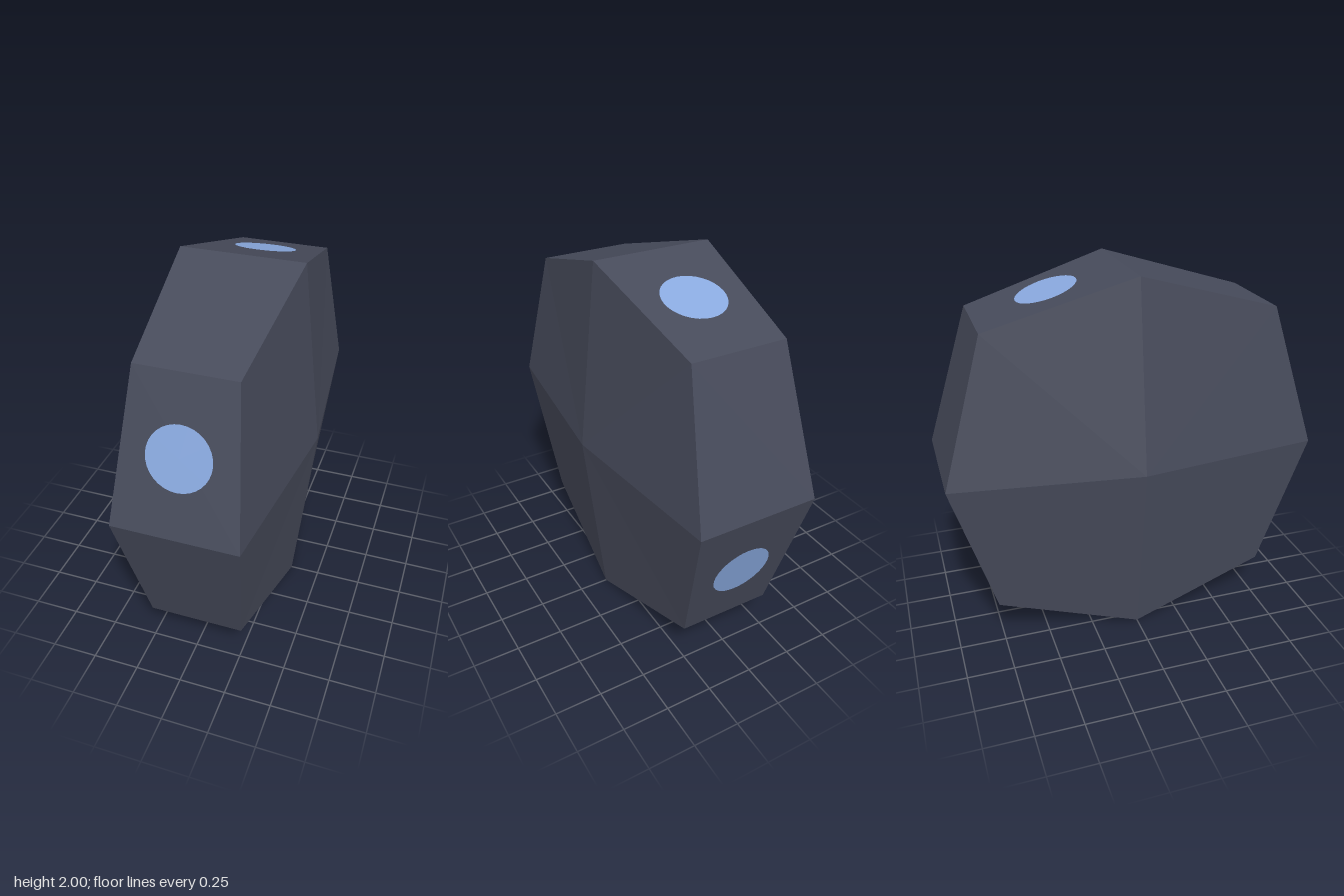
import * as THREE from 'three';

const SIDES = 8;
const APEX = 0.444;          // half thickness at the hub
const DIAG = 0.77;           // y and z of the diagonal rim corners

// Rim corner i on the +x or -x face, counted from the top towards the front
function rimPoint(i, side) {
  const odd = i % 2 === 1;
  const r = odd ? DIAG * Math.SQRT2 : 1;
  const a = (i * Math.PI * 2) / SIDES;
  const x = 0.011 + side * (odd ? 0.253 : 0.325);
  return [x, r * Math.cos(a), r * Math.sin(a)];
}

function facets(triangles) {
  const geo = new THREE.BufferGeometry();
  geo.setAttribute('position', new THREE.Float32BufferAttribute(triangles.flat(2), 3));
  geo.computeVertexNormals();
  return geo;
}

export function createModel() {
  const model = new THREE.Group();
  model.name = 'facetedWheel';

  const slate = new THREE.MeshStandardMaterial({ color: 0x474b5b });
  slate.name = 'dark slate';
  const blue = new THREE.MeshStandardMaterial({ color: 0x8aaae0 });
  blue.name = 'light blue';

  const body = new THREE.Group();
  body.position.y = 1;
  model.add(body);

  const add = (parent, name, geo, mat) => {
    const mesh = new THREE.Mesh(geo, mat);
    mesh.name = name;
    parent.add(mesh);
    return mesh;
  };

  // Shallow pyramids on both sides and the flat tread panels between them
  const left = [], right = [], tread = [];
  for (let i = 0; i < SIDES; i++) {
    const j = (i + 1) % SIDES;
    const a = rimPoint(i, 1), b = rimPoint(j, 1);
    const c = rimPoint(i, -1), d = rimPoint(j, -1);
    left.push([[APEX, 0, 0], a, b]);
    right.push([[-APEX, 0, 0], d, c]);
    tread.push([a, c, b], [b, c, d]);
  }
  add(body, 'leftSide', facets(left), slate);
  add(body, 'rightSide', facets(right), slate);
  add(body, 'tread', facets(tread), slate);

  // Round spots on every second tread panel
  const tilt = Math.atan2(1 - DIAG, DIAG);
  const lift = 0.004;
  for (let k = 0; k < 4; k++) {
    const pivot = new THREE.Group();
    pivot.name = 'spotPivot';
    pivot.rotation.x = (k * Math.PI) / 2;
    body.add(pivot);
    const spot = add(pivot, 'spot', new THREE.CircleGeometry(0.163, 32), blue);
    spot.position.set(
      0.012,
      DIAG / 2 + lift * Math.sin(tilt) + 0.003,
      (1 + DIAG) / 2 + lift * Math.cos(tilt)
    );
    spot.rotation.x = -tilt;
  }

  return model;
}
